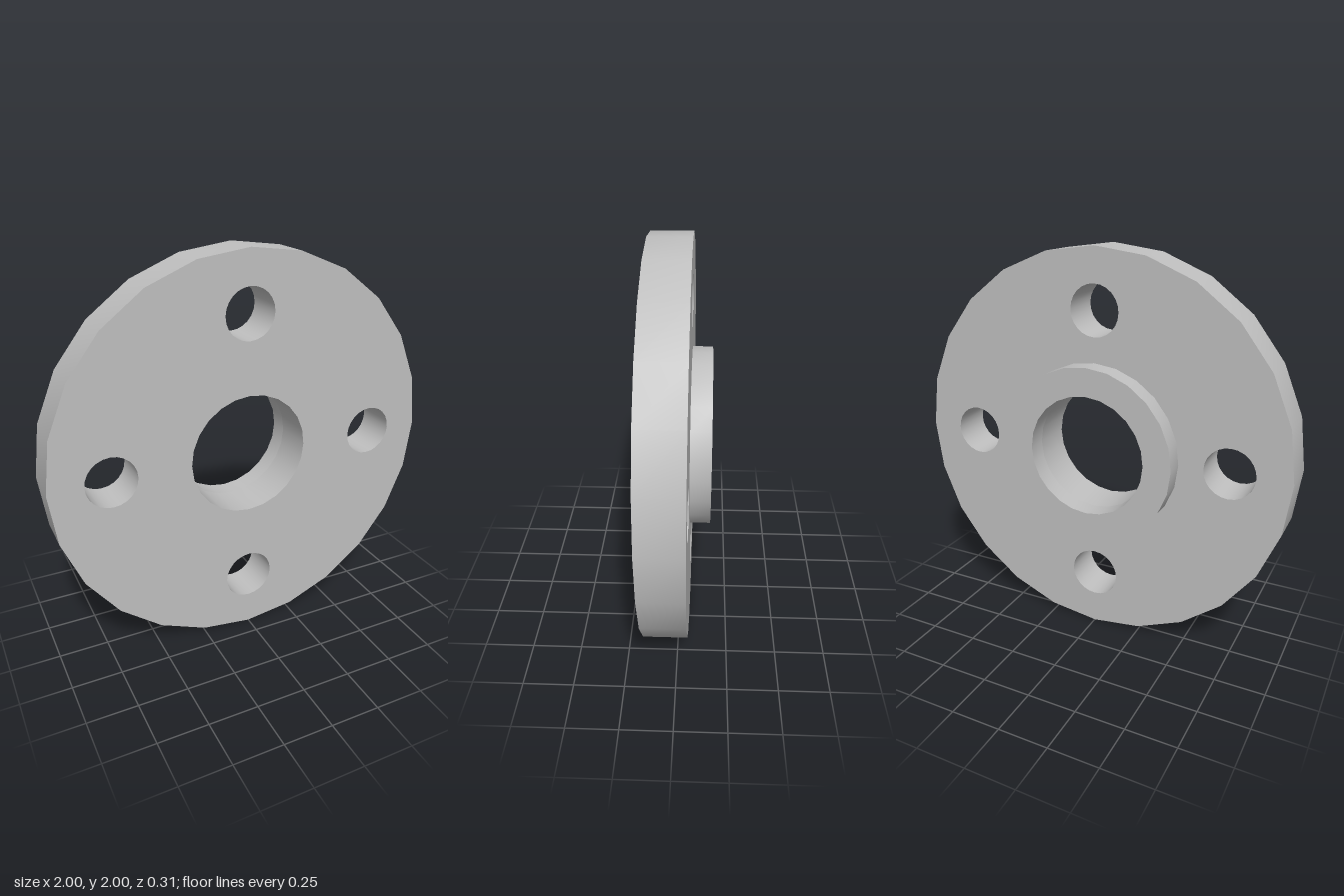
import * as THREE from 'three';
import { toCreasedNormals } from 'three/addons/utils/BufferGeometryUtils.js';

const SIDES = 24;
const BORE = 0.307;

// Points of a regular polygon standing in for a circle
function ring(radius, cx = 0, cy = 0) {
  return Array.from({ length: SIDES }, (_, i) => {
    const a = (i / SIDES) * Math.PI * 2;
    return new THREE.Vector2(cx + radius * Math.cos(a), cy + radius * Math.sin(a));
  });
}

// Disc with holes, extruded from z0 to z1, smooth around and sharp at the rims
function piercedDisc(name, radius, holes, z0, z1, material) {
  const shape = new THREE.Shape(ring(radius));
  shape.holes = holes.map((points) => new THREE.Path(points));
  const geometry = new THREE.ExtrudeGeometry(shape, { depth: z1 - z0, bevelEnabled: false });
  geometry.translate(0, 0, z0);
  const mesh = new THREE.Mesh(toCreasedNormals(geometry, 0.6), material);
  mesh.name = name;
  mesh.position.y = 1;
  return mesh;
}

export function createModel() {
  const group = new THREE.Group();
  group.name = 'pipeFlange';
  const steel = new THREE.MeshStandardMaterial({ color: 0xbfbfbf });
  steel.name = 'steel grey';

  // Four bolt holes around the central bore
  const boltHoles = [0, 1, 2, 3].map((i) => {
    const a = (i * Math.PI) / 2;
    return ring(0.127, 0.702 * Math.cos(a), 0.702 * Math.sin(a));
  });

  // Main plate, and the raised collar on its back
  group.add(piercedDisc('flangePlate', 1, [ring(BORE), ...boltHoles], -0.055, 0.155, steel));
  group.add(piercedDisc('raisedCollar', 0.45, [ring(BORE)], -0.155, -0.055, steel));
  return group;
}
